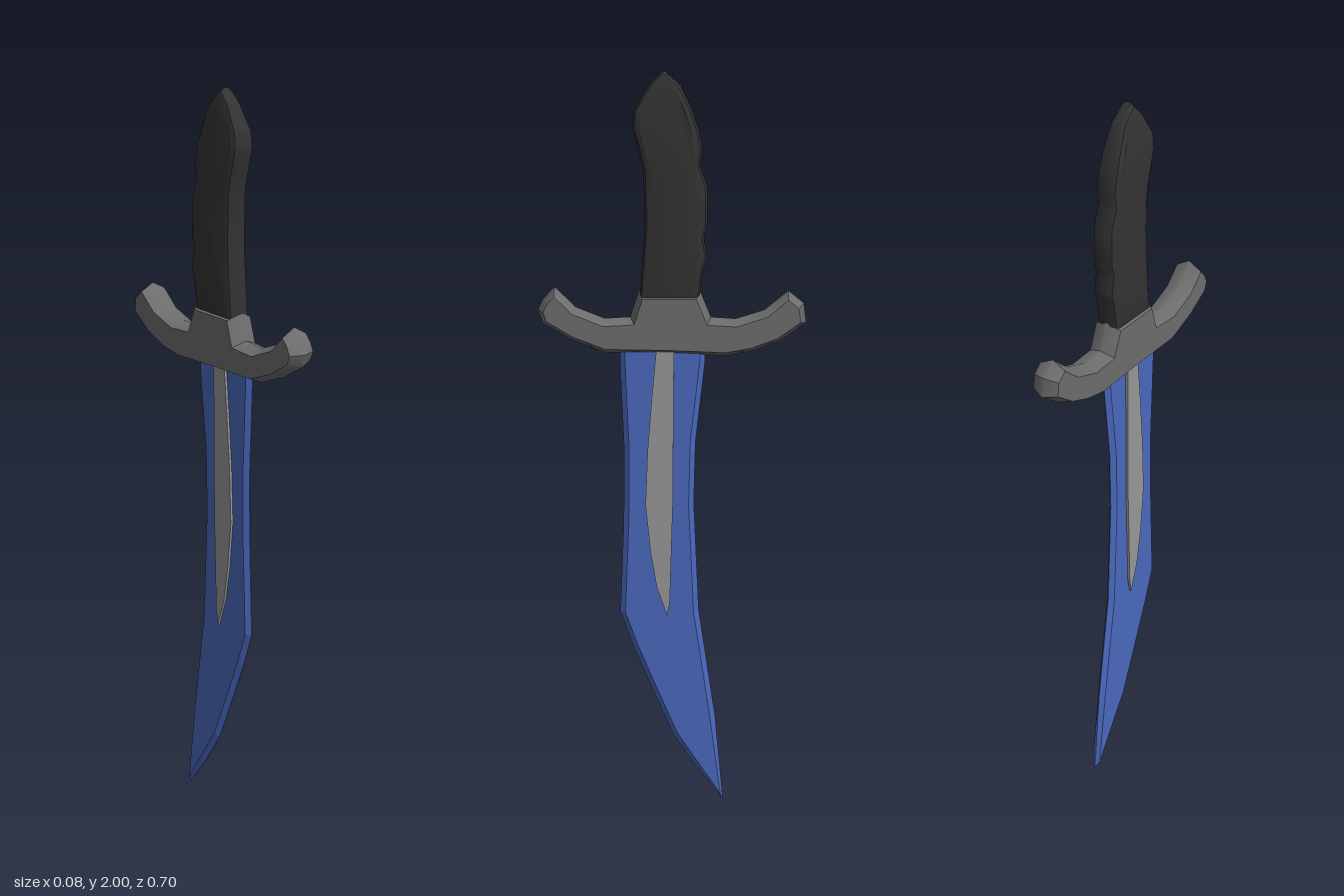
import * as THREE from 'three';
import { toCreasedNormals } from 'three/addons/utils/BufferGeometryUtils.js';

const material = (name, color) => Object.assign(new THREE.MeshStandardMaterial({ color }), { name });

// Chamfered slab from a [z, y] outline, centred on x = 0.
function slab(outline, halfWidth, chamferWidth, chamferDepth, segments = 1) {
  const shape = new THREE.Shape(outline.map(([z, y]) => new THREE.Vector2(z, y)));
  const depth = 2 * (halfWidth - chamferDepth);
  const geometry = new THREE.ExtrudeGeometry(shape, {
    depth,
    bevelEnabled: chamferWidth > 0,
    bevelSize: chamferWidth,
    bevelOffset: -chamferWidth,
    bevelThickness: chamferDepth,
    bevelSegments: segments,
  });
  return geometry.translate(0, 0, -depth / 2).rotateY(-Math.PI / 2);
}

export function createModel() {
  const model = new THREE.Group();
  model.name = 'dagger';
  const blue = material('blade blue', 0x4a69bd);
  const silver = material('inlay silver', 0x979797);
  const steel = material('guard grey', 0x6d6d6d);
  const black = material('grip black', 0x333333);

  const add = (name, geometry, mat) => {
    const mesh = new THREE.Mesh(geometry, mat);
    mesh.name = name;
    model.add(mesh);
  };

  // Curved blade, ground to a ridge all round
  add('blade', slab([
    [0.14, 1.29], [0.14, 1.24], [0.13, 1.0], [0.132, 0.8], [0.142, 0.545],
    [0.11, 0.455], [0.06, 0.335], [0, 0.195], [-0.06, 0.105], [-0.138, 0.005],
    [-0.115, 0.25], [-0.07, 0.55], [-0.056, 0.85], [-0.06, 1.02], [-0.085, 1.24], [-0.085, 1.29],
  ], 0.012, 0.014, 0.011), blue);

  // Tapered inlay running through the blade
  add('inlay', slab([
    [0.042, 1.29], [0.055, 1.15], [0.067, 1.0], [0.073, 0.85], [0.06, 0.72],
    [0.043, 0.62], [0.015, 0.54], [0.008, 0.58], [0, 0.85], [-0.003, 1.29],
  ], 0.019, 0, 0.0), silver);

  // Crossguard with upturned arms and a raised collar
  add('guard', toCreasedNormals(slab([
    [0.31, 1.437], [0.34, 1.405], [0.355, 1.375], [0.342, 1.34], [0.27, 1.297], [0.18, 1.262],
    [0.02, 1.26], [-0.14, 1.254], [-0.21, 1.267], [-0.28, 1.293], [-0.35, 1.343],
    [-0.343, 1.395], [-0.302, 1.428], [-0.24, 1.377], [-0.165, 1.353], [-0.1, 1.357],
    [-0.072, 1.425], [0.09, 1.425], [0.112, 1.357], [0.18, 1.353], [0.255, 1.383],
  ], 0.038, 0.015, 0.037), 0.65), steel);

  // Grip with finger swells and a pointed pommel
  const grip = slab([
    [0.025, 2.0], [0.06, 1.965], [0.1, 1.9], [0.105, 1.855], [0.09, 1.8], [0.076, 1.74],
    [0.073, 1.6], [0.08, 1.5], [0.088, 1.4], [-0.068, 1.4], [-0.08, 1.485], [-0.09, 1.515],
    [-0.081, 1.57], [-0.09, 1.605], [-0.09, 1.7], [-0.07, 1.755], [-0.076, 1.8],
    [-0.066, 1.85], [-0.045, 1.91], [-0.02, 1.96],
  ], 0.033, 0.018, 0.02, 2);
  const p = grip.attributes.position;
  for (let i = 0; i < p.count; i++) {
    const taper = Math.max(0, (p.getY(i) - 1.88) / 0.12);
    p.setX(i, p.getX(i) * (1 - 0.4 * taper));
  }
  grip.computeVertexNormals();
  add('grip', toCreasedNormals(grip, 0.5), black);

  return model;
}
